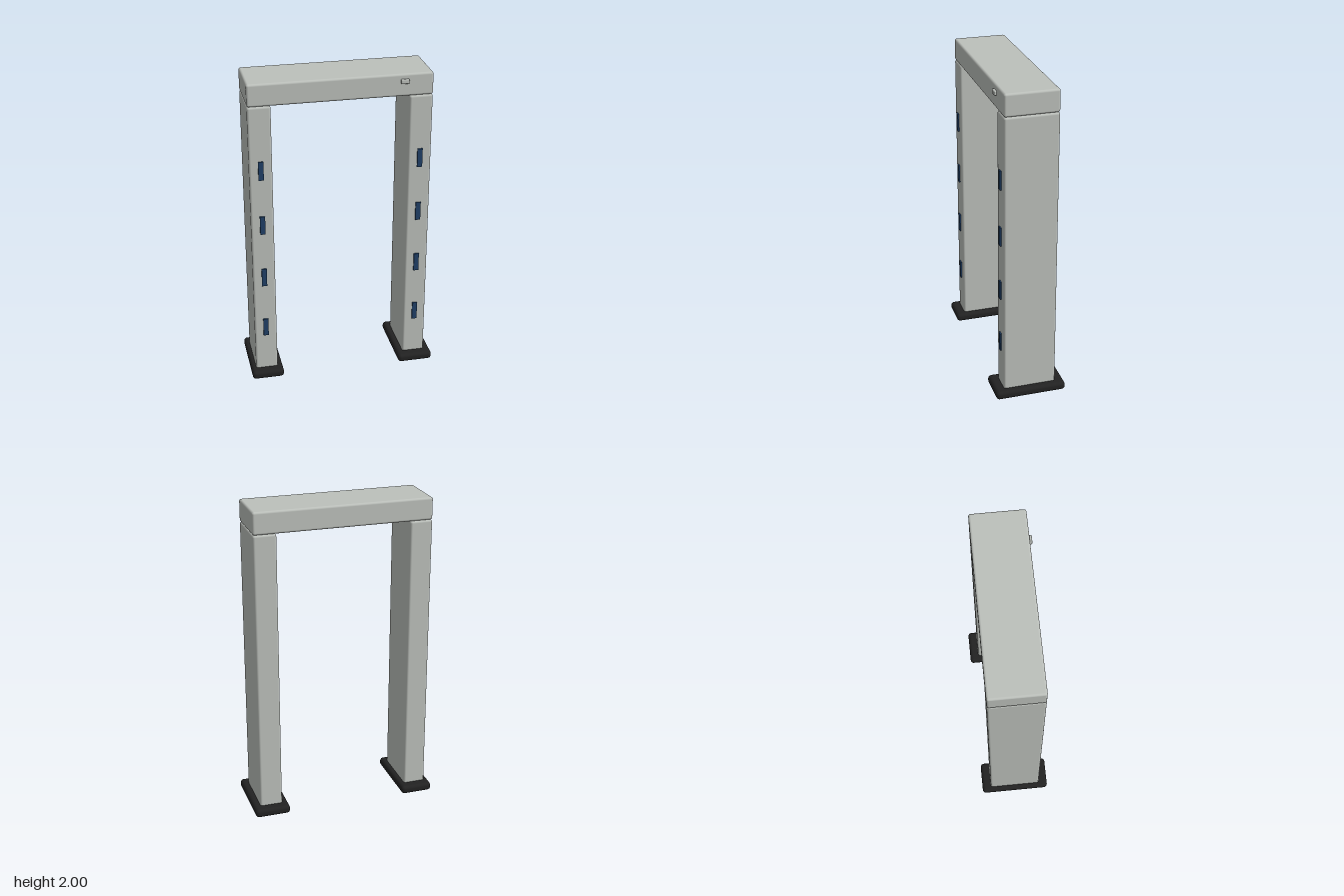
import * as THREE from 'three';
import { RoundedBoxGeometry } from 'three/addons/geometries/RoundedBoxGeometry.js';

const mat = (name, color) => {
  const m = new THREE.MeshStandardMaterial({ color });
  m.name = name;
  return m;
};

export function createModel() {
  const group = new THREE.Group();
  const grey = mat('panel grey', 0xbcc0bb);
  const black = mat('rubber black', 0x222222);
  const blue = mat('indicator blue', 0x1f3f66);

  // Rounded block given by its min and max along each axis
  const block = (name, material, [x0, x1], [y0, y1], [z0, z1], radius) => {
    const geo = new RoundedBoxGeometry(x1 - x0, y1 - y0, z1 - z0, 3, radius);
    const mesh = new THREE.Mesh(geo, material);
    mesh.name = name;
    mesh.position.set((x0 + x1) / 2, (y0 + y1) / 2, (z0 + z1) / 2);
    group.add(mesh);
  };

  const depth = [-0.167, 0.167];

  // Overhead beam with a small sensor on its front
  block('crossBeam', grey, [-0.57, 0.557], [1.86, 2], depth, 0.014);
  block('beamSensor', grey, [0.353, 0.405], [1.941, 1.97], [0.164, 0.182], 0.007);

  // Posts, feet and indicator lights on each side
  const sides = [
    { side: 'right', post: [-0.57, -0.428], foot: [-0.6, -0.395], light: -0.499 },
    { side: 'left', post: [0.413, 0.557], foot: [0.373, 0.6], light: 0.485 },
  ];
  for (const { side, post, foot, light } of sides) {
    block(`${side}Post`, grey, post, [0, 1.86], depth, 0.014);
    block(`${side}Foot`, black, foot, [0.005, 0.06], [-0.225, 0.225], 0.022);
    for (let i = 0; i < 4; i++) {
      const lamp = new THREE.Mesh(new THREE.BoxGeometry(0.032, 0.12, 0.009), blue);
      lamp.name = `${side}Light${i + 1}`;
      lamp.position.set(light, 0.366 + i * 0.363, 0.1715);
      group.add(lamp);
    }
  }
  return group;
}
